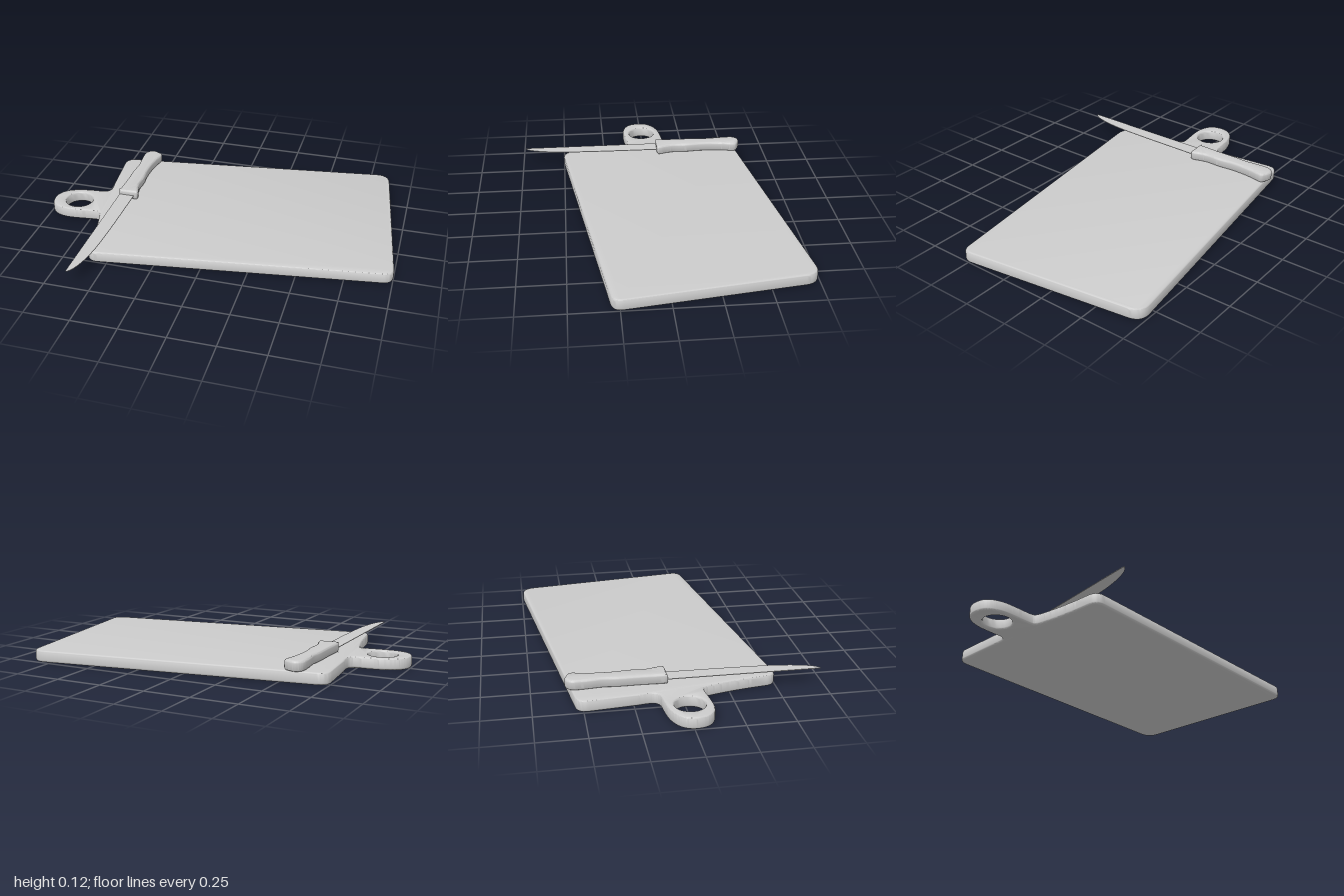
import * as THREE from 'three';
import { toCreasedNormals } from 'three/addons/utils/BufferGeometryUtils.js';

const material = new THREE.MeshStandardMaterial({ color: 0xcccccc, side: THREE.DoubleSide });

// Plan points are [x, z]; shapes are drawn in x, -z and laid flat.
const v = ([x, z]) => new THREE.Vector2(x, -z);

// Extrudes a plan shape upward from y0 to y1 with rounded rims.
function slab(name, shape, y0, y1, round) {
  const geometry = new THREE.ExtrudeGeometry(shape, {
    depth: y1 - y0 - 2 * round,
    bevelEnabled: round > 0,
    bevelThickness: round,
    bevelSize: round,
    bevelOffset: -round,
    bevelSegments: 4,
    curveSegments: 12,
  });
  geometry.translate(0, 0, round);
  geometry.rotateX(-Math.PI / 2);
  geometry.translate(0, y0, 0);
  const mesh = new THREE.Mesh(toCreasedNormals(geometry, 0.7), material);
  mesh.name = name;
  return mesh;
}

// Line to a corner, then a rounded turn toward the next point.
function roundCorner(shape, before, corner, after, r) {
  const c = v(corner);
  const a = c.clone().add(v(before).sub(c).setLength(r));
  const b = c.clone().add(v(after).sub(c).setLength(r));
  shape.lineTo(a.x, a.y);
  shape.quadraticCurveTo(c.x, c.y, b.x, b.y);
}

function createBoard() {
  const backLeft = [-0.752, -0.533], backRight = [0.862, -0.752];
  const frontRight = [1.007, 0.288], frontLeft = [-0.608, 0.508];
  const neckBack = [-0.722, -0.23], neckFront = [-0.627, 0.37];

  const shape = new THREE.Shape();
  shape.moveTo(neckFront[0], -neckFront[1]);
  roundCorner(shape, neckFront, frontLeft, frontRight, 0.06);
  roundCorner(shape, frontLeft, frontRight, backRight, 0.06);
  roundCorner(shape, frontRight, backRight, backLeft, 0.08);
  roundCorner(shape, backRight, backLeft, neckBack, 0.06);
  shape.lineTo(neckBack[0], -neckBack[1]);
  // grip loop, flaring into the board on both sides
  shape.splineThru([
    [-0.715, -0.18], [-0.718, -0.145], [-0.745, -0.124], [-0.81, -0.117], [-0.89, -0.104],
    [-0.955, -0.075], [-0.99, -0.035], [-1, 0.015], [-0.987, 0.068], [-0.95, 0.103],
    [-0.89, 0.119], [-0.82, 0.116], [-0.71, 0.104], [-0.685, 0.12], [-0.67, 0.165],
    [-0.647, 0.26], neckFront,
  ].map(v));

  // hanging hole
  const hole = new THREE.Path();
  hole.absarc(-0.85, -0.005, 0.077, 0, Math.PI * 2, true);
  shape.holes.push(hole);
  return slab('cuttingBoard', shape, 0, 0.063, 0.012);
}

function createKnife() {
  const knife = new THREE.Group();
  knife.name = 'knife';

  // blade: straight spine, edge curving in to the tip
  const blade = new THREE.Shape();
  blade.moveTo(-0.628, 0.1);
  blade.lineTo(-0.628, -0.73);
  blade.lineTo(-0.621, -0.734);
  blade.splineThru([
    [-0.597, 0.7], [-0.575, 0.63], [-0.56, 0.54], [-0.552, 0.44], [-0.546, 0.25], [-0.542, -0.1],
  ].map(v));
  knife.add(slab('blade', blade, 0.087, 0.09, 0));

  // handle: wavy grip with a rounded butt and a square front
  const handle = new THREE.Shape();
  handle.moveTo(-0.622, 0.067);
  handle.lineTo(-0.55, 0.067);
  handle.splineThru([
    [-0.523, -0.073], [-0.523, -0.095], [-0.534, -0.13], [-0.543, -0.18], [-0.54, -0.25],
    [-0.547, -0.33], [-0.546, -0.41], [-0.538, -0.48], [-0.526, -0.545], [-0.547, -0.567],
    [-0.585, -0.58], [-0.615, -0.568], [-0.631, -0.535], [-0.628, -0.46], [-0.622, -0.39],
    [-0.627, -0.31], [-0.627, -0.2], [-0.63, -0.078], [-0.622, -0.067],
  ].map(v));
  knife.add(slab('knifeHandle', handle, 0.063, 0.119, 0.014));
  return knife;
}

export function createModel() {
  const model = new THREE.Group();
  model.name = 'cuttingBoardWithKnife';
  model.add(createBoard(), createKnife());
  return model;
}
